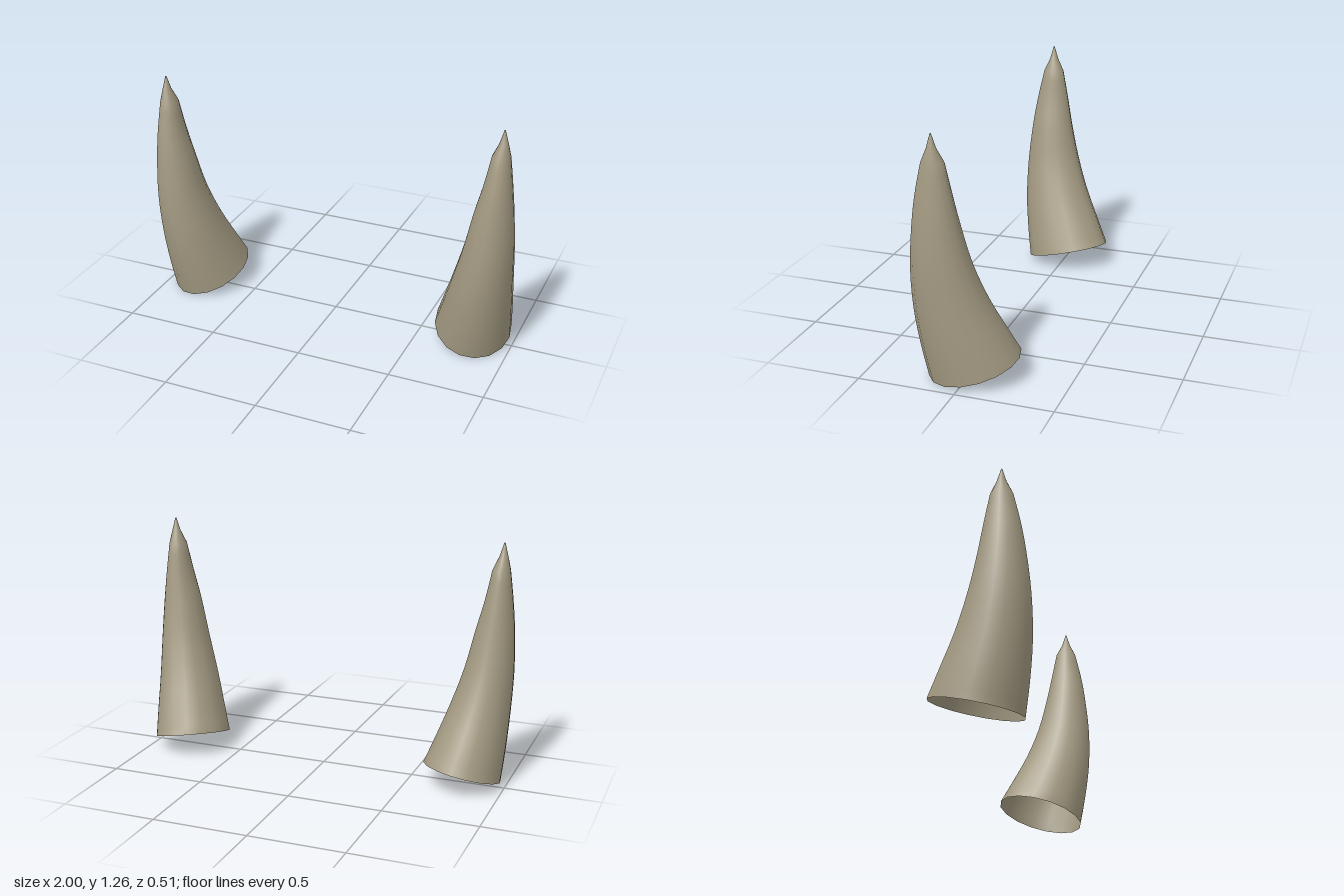
import * as THREE from 'three';

const SIDES = 16;
// cross-sections, base to tip: height, inner x, outer x, back z, front z, tilt
const SECTIONS = [
  [0.07, 0.58, 0.98, -0.255, 0.205, 1],
  [0.22, 0.63, 0.99, -0.19, 0.232, 0.8],
  [0.40, 0.687, 0.997, -0.115, 0.253, 0.5],
  [0.60, 0.745, 1.0, -0.05, 0.253, 0.2],
  [0.80, 0.79, 0.991, -0.003, 0.234, 0],
  [0.96, 0.832, 0.976, 0.028, 0.21, 0],
  [1.12, 0.865, 0.957, 0.06, 0.175, 0],
];
// short pinched point
const POINT = [
  [1.19, 0.897, 0.942, 0.095, 0.143, 0],
  [1.26, 0.918, 0.924, 0.117, 0.123, 0],
];

// smooth the sections of the shaft, keep the point straight-sided
function sections() {
  const curve = (a, b, c) => new THREE.CatmullRomCurve3(
    SECTIONS.map((s) => new THREE.Vector3(s[a], s[b], s[c])), false, 'catmullrom', 0.5);
  const first = curve(0, 1, 2), second = curve(3, 4, 5);
  const list = [];
  const steps = (SECTIONS.length - 1) * 3;
  for (let i = 0; i <= steps; i++) {
    const p = first.getPoint(i / steps), q = second.getPoint(i / steps);
    list.push([p.x, p.y, p.z, q.x, q.y, q.z]);
  }
  return list.concat(POINT);
}

// hollow horn lofted through tilted ellipses; side is +1 (left) or -1 (right)
function hornGeometry(side) {
  const rings = sections();
  const positions = [], index = [];
  rings.forEach(([y, x0, x1, z0, z1, tilt], r) => {
    for (let i = 0; i < SIDES; i++) {
      const a = (i / SIDES) * Math.PI * 2;
      const dx = Math.cos(a) * (x1 - x0) / 2;
      const dz = Math.sin(a) * (z1 - z0) / 2;
      positions.push(
        side * ((x0 + x1) / 2 + dx),
        y - tilt * (0.185 * dx + 0.264 * dz),
        (z0 + z1) / 2 + dz);
      if (r === rings.length - 1) continue;
      const p = r * SIDES + i, q = r * SIDES + (i + 1) % SIDES;
      const u = p + SIDES, v = q + SIDES;
      if (side > 0) index.push(p, u, q, q, u, v);
      else index.push(p, q, u, q, v, u);
    }
  });
  const geometry = new THREE.BufferGeometry();
  geometry.setAttribute('position', new THREE.Float32BufferAttribute(positions, 3));
  geometry.setIndex(index);
  geometry.computeVertexNormals();
  return geometry;
}

export function createModel() {
  const group = new THREE.Group();
  group.name = 'horns';
  const material = new THREE.MeshStandardMaterial({ color: 0xa39a82, side: THREE.DoubleSide });
  for (const [name, side] of [['leftHorn', 1], ['rightHorn', -1]]) {
    const horn = new THREE.Mesh(hornGeometry(side), material);
    horn.name = name;
    group.add(horn);
  }
  return group;
}
